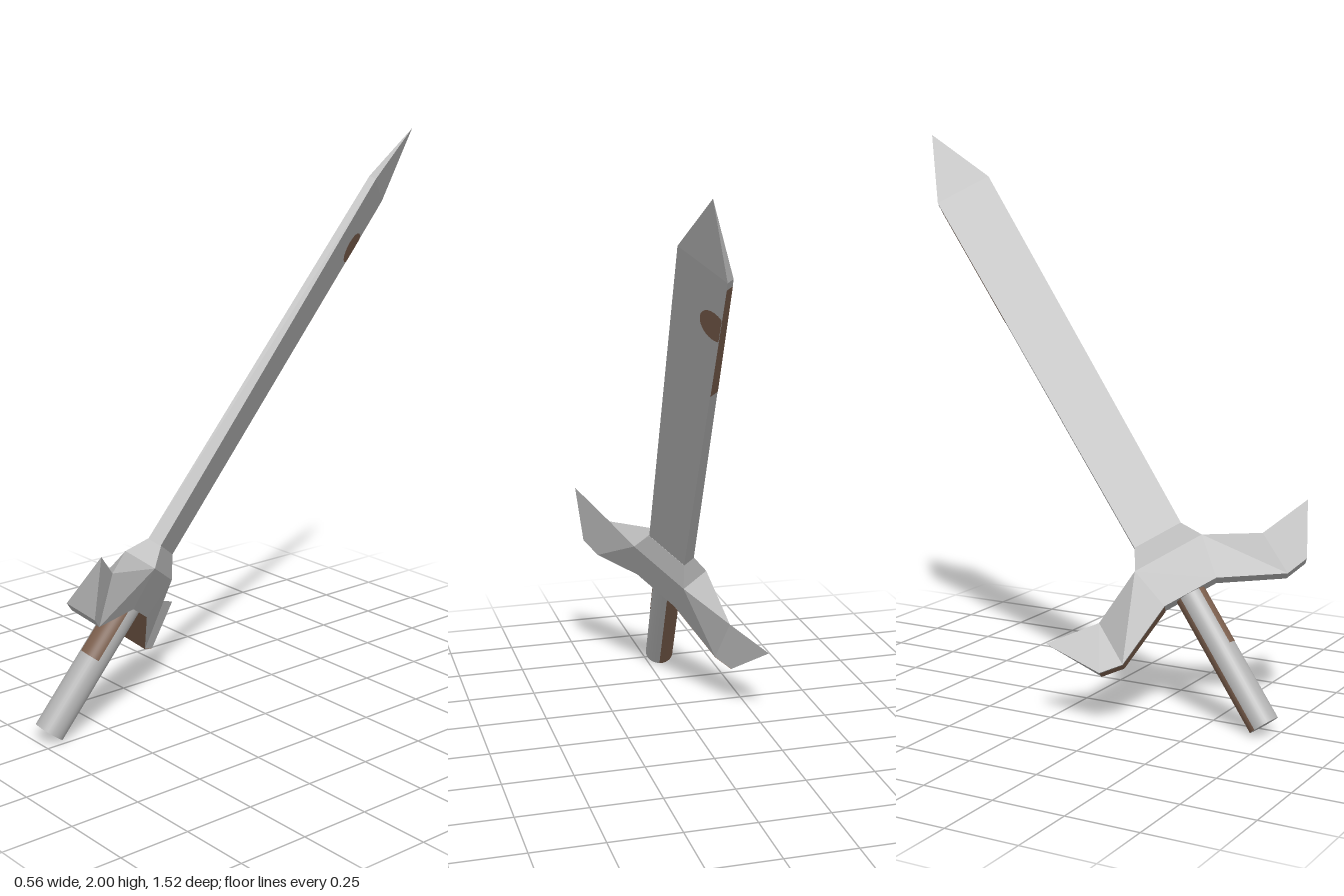
import * as THREE from 'three';
import { ConvexGeometry } from 'three/addons/geometries/ConvexGeometry.js';

export function createModel() {
  const steel = new THREE.MeshStandardMaterial({ color: 0xb4b4b4 });
  steel.name = 'steel grey';
  const brown = new THREE.MeshStandardMaterial({ color: 0x7d604e, side: THREE.DoubleSide });
  brown.name = 'worn brown';

  // The sword is built upright: y along the blade, x across it, z through it.
  const sword = new THREE.Group();
  sword.name = 'sword';
  const add = (name, geometry, material) => {
    const mesh = new THREE.Mesh(geometry, material);
    mesh.name = name;
    sword.add(mesh);
    return mesh;
  };
  const V = (x, y, z) => new THREE.Vector3(x, y, z);
  // Points repeated at +z and -z
  const pair = (x, y, z) => [V(x, y, z), V(x, y, -z)];
  const hull = (name, points) => add(name, new ConvexGeometry(points), steel);
  // Flat four-cornered plate spanning -z to +z between two edges
  const plate = (name, [x1, y1, z1], [x2, y2, z2]) => {
    const g = new THREE.BufferGeometry().setFromPoints(
      [...pair(x1, y1, z1), ...pair(x2, y2, z2)]);
    g.setIndex([0, 1, 2, 1, 3, 2]);
    g.computeVertexNormals();
    add(name, g, brown);
  };

  // Handle with two worn patches
  const r = 0.053;
  add('handle', new THREE.CylinderGeometry(r, r, 0.55, 32), steel).position.y = 0.275;
  const wrap = (name, y0, y1, from, to) => {
    const rad = THREE.MathUtils.degToRad;
    const g = new THREE.CylinderGeometry(r + 0.001, r + 0.001, y1 - y0, 16, 1, true,
      rad(from + 90), rad(to - from));
    add(name, g, brown).position.y = (y0 + y1) / 2;
  };
  wrap('handleFrontPatch', 0.29, 0.52, -52, 38);
  wrap('handleBackPatch', 0, 0.52, 137, 225);

  // Blade, thinning and widening slightly toward its shoulder
  const halfWidth = y => 0.09 + 0.015 * (y - 0.65) / 1.55;
  const halfDepth = y => 0.026 - 0.013 * (y - 0.65) / 1.55;
  const bladePoints = [V(0, 2.457, 0)];
  for (const y of [0.65, 2.2])
    for (const s of [-1, 1]) bladePoints.push(...pair(s * halfWidth(y), y, halfDepth(y)));
  hull('blade', bladePoints);

  // Round spot on one blade face, cut off by the edge, and a strip along that edge
  const spot = new THREE.CircleGeometry(0.057, 24);
  const p = spot.attributes.position;
  for (let i = 0; i < p.count; i++) {
    const y = p.getY(i) + 1.989;
    p.setXYZ(i, Math.max(p.getX(i) - 0.073, -halfWidth(y)), y, -halfDepth(y) - 0.001);
  }
  spot.setIndex([...spot.index.array].reverse());
  spot.computeVertexNormals();
  add('bladeSpot', spot, brown);
  plate('bladeEdgeStrip', [-halfWidth(1.68) - 0.001, 1.68, halfDepth(1.68)],
    [-halfWidth(2.17) - 0.001, 2.17, halfDepth(2.17)]);

  // Guard: centre block with collar, then two mirrored arms of triangular section
  const block = [];
  for (const s of [-1, 1]) {
    const root = [...pair(s * 0.13, 0.653, 0.06), ...pair(s * 0.1, 0.5, 0.06)];
    const bend = [V(s * 0.32, 0.566, 0), ...pair(s * 0.318, 0.397, 0.055)];
    block.push(...root, ...pair(s * 0.09, 0.73, 0.026));
    const side = s > 0 ? 'left' : 'right';
    hull(side + 'GuardArm', [...root, ...bend]);
    hull(side + 'GuardTip', [...bend, ...pair(s * 0.4, 0.41, 0.055), V(s * 0.513, 0.592, 0)]);
  }
  hull('guardCentre', block);
  plate('guardArmUnderside', [-0.1, 0.498, 0.06], [-0.318, 0.395, 0.055]);
  plate('guardTipUnderside', [-0.318, 0.395, 0.055], [-0.4, 0.408, 0.055]);

  // Lean the whole sword into its pose
  const base = V(-0.05, 0.035, 0.71);
  const along = V(0.16, 2.0, -0.755).sub(base).normalize();
  const across = V(0.54, 0.44, 0.71);
  across.addScaledVector(along, -across.dot(along)).normalize();
  const through = across.clone().cross(along);
  sword.applyMatrix4(new THREE.Matrix4().makeBasis(across, along, through).setPosition(base));

  const model = new THREE.Group();
  model.name = 'model';
  model.add(sword);
  return model;
}
